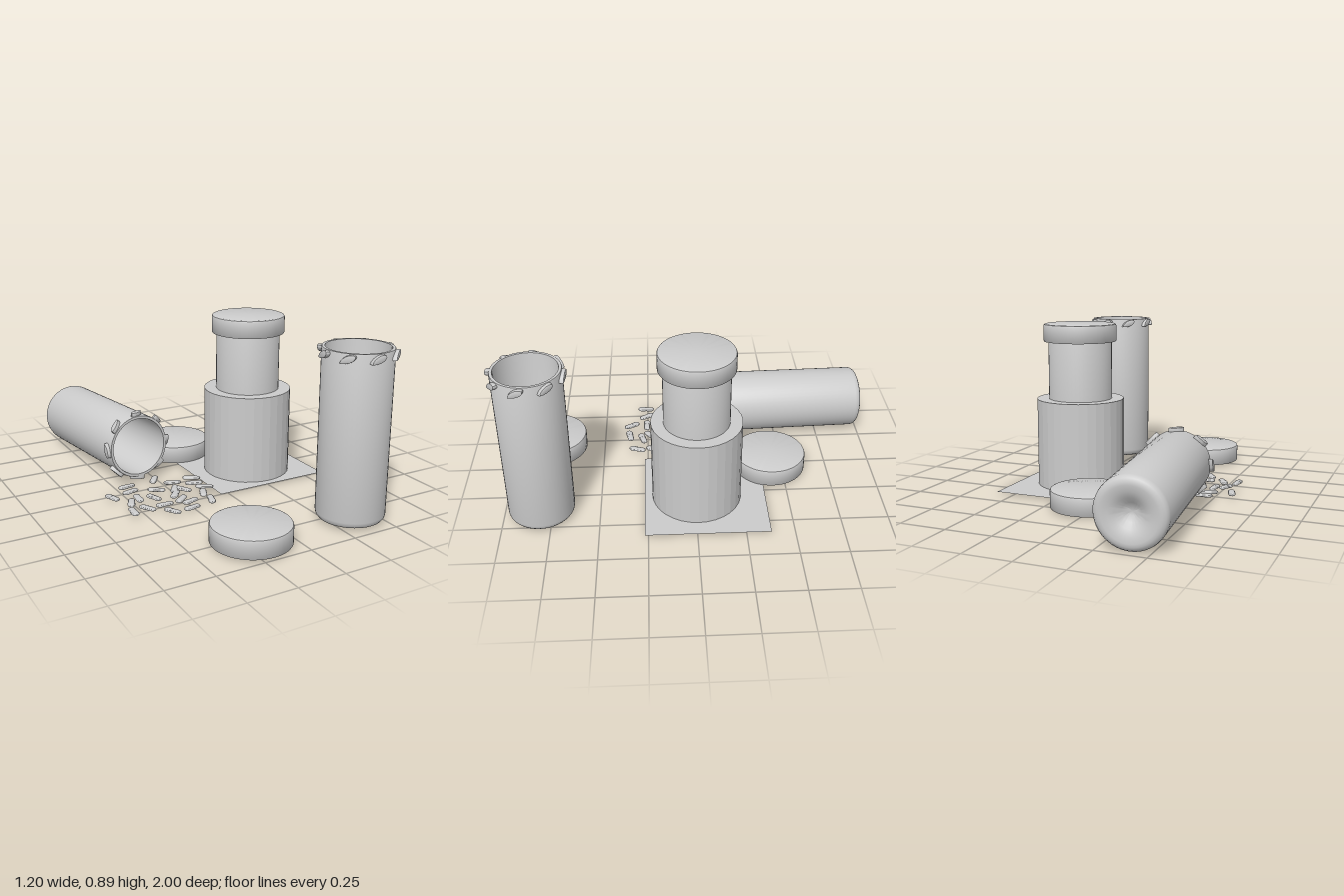
import * as THREE from 'three';
import { toCreasedNormals } from 'three/addons/utils/BufferGeometryUtils.js';

const material = new THREE.MeshStandardMaterial({ color: 0xcccccc });
const thin = new THREE.MeshStandardMaterial({ color: 0xcccccc, side: THREE.DoubleSide });

const FLOOR = 0.015;

function mesh(name, geometry, mat = material) {
  const m = new THREE.Mesh(geometry, mat);
  m.name = name;
  return m;
}

function lathe(points, segments) {
  const profile = points.map(([r, y]) => new THREE.Vector2(r, y));
  return toCreasedNormals(new THREE.LatheGeometry(profile, segments), 0.7);
}

// Bottle wall: dimpled base, rounded foot, straight side, open rim, inner wall and raised inner floor
const bottleGeometry = lathe([
  [0, 0.055], [0.02, 0.052], [0.045, 0.038], [0.07, 0.018], [0.1, 0.006], [0.13, 0],
  [0.145, 0.001], [0.16, 0.008], [0.169, 0.02], [0.172, 0.035],
  [0.172, 0.855], [0.17, 0.86], [0.156, 0.86], [0.155, 0.855],
  [0.155, 0.045], [0.148, 0.025], [0.13, 0.015], [0.1, 0.02], [0.07, 0.032],
  [0.045, 0.052], [0.02, 0.066], [0, 0.069],
], 48);

// Lid: hollow underside, rounded top edge
const lidGeometry = lathe([
  [0, 0.078], [0.178, 0.078], [0.178, 0], [0.195, 0], [0.197, 0.003],
  [0.197, 0.085], [0.194, 0.092], [0.187, 0.095], [0, 0.095],
], 64);

// Slanted teardrop locking lug
function makeLugGeometry() {
  const s = new THREE.Shape();
  s.moveTo(-0.036, -0.018);
  s.bezierCurveTo(-0.03, 0.006, 0.005, 0.024, 0.027, 0.02);
  s.bezierCurveTo(0.042, 0.016, 0.03, -0.004, 0.012, -0.011);
  s.bezierCurveTo(-0.004, -0.018, -0.022, -0.02, -0.036, -0.018);
  const g = new THREE.ExtrudeGeometry(s, {
    depth: 0.024, curveSegments: 6, bevelEnabled: true,
    bevelThickness: 0.003, bevelSize: 0.002, bevelSegments: 2,
  });
  return toCreasedNormals(g.translate(0, 0, 0.163), 0.7);
}
const lugGeometry = makeLugGeometry();

function makeBottle(name) {
  const bottle = new THREE.Group();
  bottle.name = name;
  bottle.add(mesh('bottleBody', bottleGeometry));
  for (let i = 0; i < 8; i++) {
    const lug = mesh('lockingLug', lugGeometry);
    lug.position.y = 0.835;
    lug.rotation.y = -0.15 + (i * Math.PI) / 4;
    bottle.add(lug);
  }
  return bottle;
}

function makeLid(name, x, y, z) {
  const lid = mesh(name, lidGeometry);
  lid.position.set(x, y, z);
  return lid;
}

// Capsule pill along x: one half slips over the other, leaving a seam in the middle
function makePillGeometry() {
  const pts = [];
  for (let i = 0; i <= 5; i++) {
    const a = (i / 5) * Math.PI / 2;
    pts.push([0.018 * Math.sin(a), -0.03 - 0.018 * Math.cos(a)]);
  }
  pts.push([0.018, 0.004], [0.0195, 0.004]);
  for (let i = 5; i >= 0; i--) {
    const a = (i / 5) * Math.PI / 2;
    pts.push([0.0195 * Math.sin(a), 0.029 + 0.0195 * Math.cos(a)]);
  }
  pts[0][0] = pts[pts.length - 1][0] = 0;
  return lathe(pts, 12).rotateZ(Math.PI / 2);
}
const pillGeometry = makePillGeometry();

// Spilled pills: x, z, heading in degrees
const SPILL = [
  [-0.45, -0.05, 5], [-0.28, -0.07, 55], [-0.575, 0.05, -72], [-0.46, 0.02, 15],
  [-0.21, 0.015, -18], [-0.09, 0.005, -30], [-0.33, 0.065, -35], [-0.46, 0.12, 85],
  [-0.385, 0.15, -70], [-0.24, 0.1, 58], [-0.11, 0.075, -15], [-0.515, 0.155, 65],
  [-0.2, 0.125, -58], [-0.085, 0.145, -30], [-0.27, 0.165, 50], [-0.55, 0.26, 85],
  [-0.47, 0.255, -60], [-0.375, 0.255, 0], [-0.27, 0.235, 40], [-0.13, 0.215, 65],
  [-0.24, 0.28, 15], [-0.375, 0.345, -60], [-0.27, 0.355, 10], [-0.135, 0.31, 72],
];

function makeSpill() {
  const spill = new THREE.Group();
  spill.name = 'spilledPills';
  for (const [x, z, deg] of SPILL) {
    const pill = mesh('pill', pillGeometry);
    pill.position.set(x, FLOOR + 0.008, z);
    pill.rotation.y = THREE.MathUtils.degToRad(deg);
    pill.scale.y = 0.5;
    spill.add(pill);
  }
  return spill;
}

// Loose heap of pills inside the standing bottle
function makeHeap() {
  const heap = new THREE.Group();
  heap.name = 'pillHeap';
  let seed = 7;
  const rand = () => (seed = (seed * 16807) % 2147483647) / 2147483647;
  for (let i = 0; i < 70; i++) {
    const pill = mesh('pill', pillGeometry);
    const a = i * 2.4;
    const r = 0.105 * Math.sqrt(((i * 7) % 70) / 70);
    pill.position.set(r * Math.cos(a), 0.08 + 0.0022 * i, r * Math.sin(a));
    pill.rotation.set(0, rand() * Math.PI * 2, (rand() - 0.5) * 0.9);
    heap.add(pill);
  }
  return heap;
}

export function createModel() {
  const model = new THREE.Group();
  model.name = 'pillBottles';

  // Open standing bottle with pills
  const standing = makeBottle('standingBottle');
  standing.position.set(0.37, FLOOR, 0.805);
  standing.add(makeHeap());
  model.add(standing);

  // Bottle lying on its side, mouth to the front and slightly raised
  const fallen = makeBottle('fallenBottle');
  const axis = new THREE.Vector3(0.075, 0.03, 0.855).normalize();
  fallen.quaternion.setFromUnitVectors(new THREE.Vector3(0, 1, 0), axis);
  fallen.rotateY(0.22);
  fallen.position.set(-0.412, 0.176, -0.985);
  model.add(fallen);

  // Closed bottle with a wide faceted sleeve on a flat sheet
  const closed = new THREE.Group();
  closed.name = 'closedBottle';
  closed.position.set(0.273, 0, -0.01);
  const body = mesh('closedBottleBody', bottleGeometry);
  body.position.y = FLOOR;
  const sleeveGeometry = new THREE.CylinderGeometry(0.237, 0.237, 0.475, 32).toNonIndexed();
  sleeveGeometry.computeVertexNormals();
  const sleeve = mesh('sleeve', sleeveGeometry);
  sleeve.position.y = 0.2515;
  closed.add(body, sleeve, makeLid('closedLid', 0, 0.801, 0));
  model.add(closed);

  const sheet = mesh('sheet', new THREE.PlaneGeometry(0.645, 0.645).rotateX(-Math.PI / 2), thin);
  sheet.position.set(0.273, FLOOR, -0.055);
  model.add(sheet);

  // Loose lids and spilled pills
  model.add(makeLid('frontLid', -0.2, FLOOR, 0.8));
  model.add(makeLid('backLid', 0.03, FLOOR, -0.43));
  model.add(makeSpill());
  return model;
}
